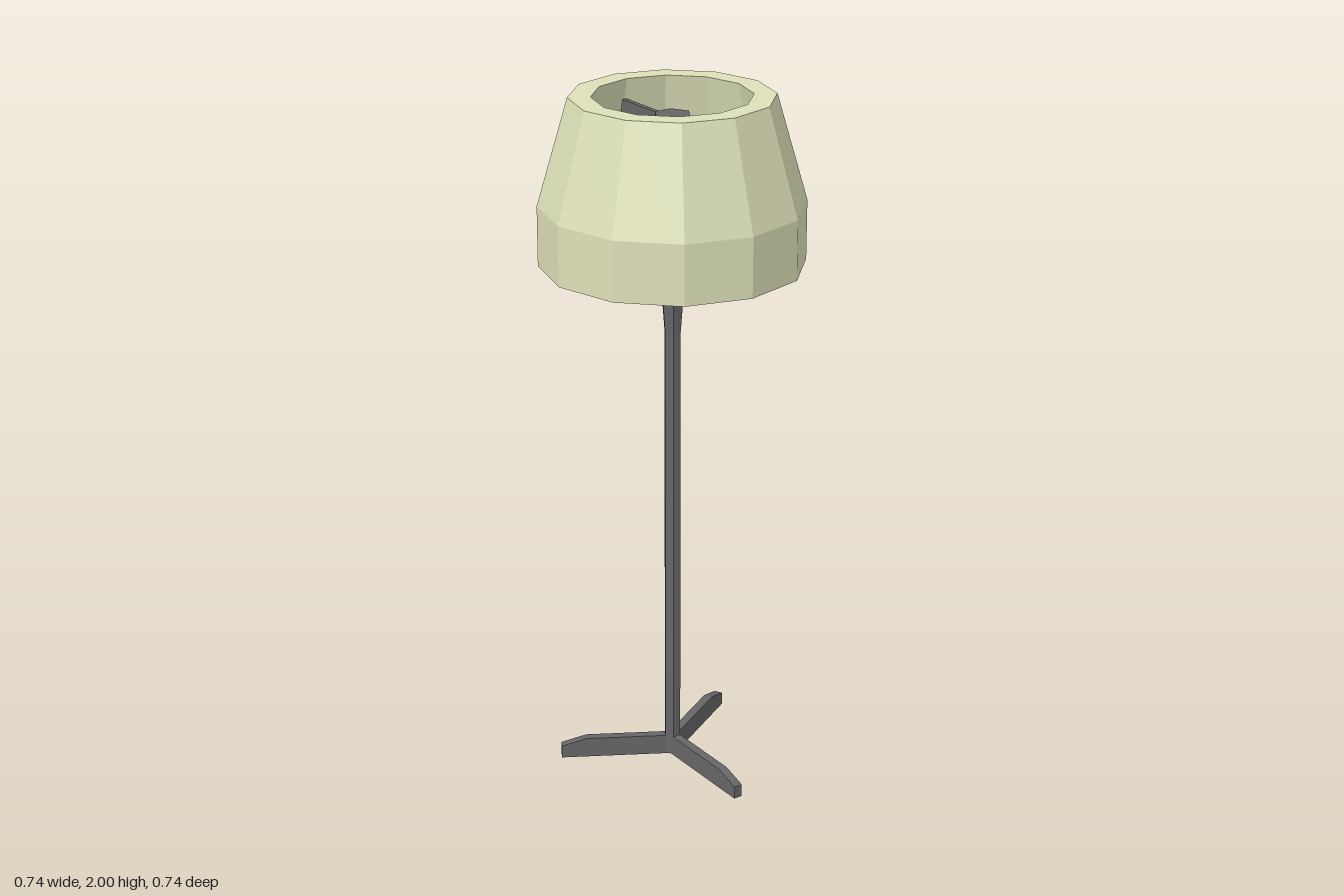
import * as THREE from 'three';

export function createModel() {
  const lamp = new THREE.Group();
  lamp.name = 'floorLamp';

  const metal = new THREE.MeshStandardMaterial({ color: 0x666668, flatShading: true });
  const fabric = new THREE.MeshStandardMaterial({ color: 0xdde0b8, flatShading: true });

  const lathe = (points, sides) =>
    new THREE.LatheGeometry(points.map(([r, y]) => new THREE.Vector2(r, y)), sides);

  const add = (name, geometry, material, angle = 0) => {
    const mesh = new THREE.Mesh(geometry, material);
    mesh.name = name;
    mesh.rotation.y = angle;
    lamp.add(mesh);
  };

  // Thick-walled twelve-sided shade: up the outside, over the rim, down the inside
  add('shade', lathe([
    [0.37, 1.53], [0.37, 1.7], [0.283, 2], [0.22, 2],
    [0.287, 1.7], [0.287, 1.53], [0.37, 1.53],
  ], 12), fabric);

  // Hexagonal pole flaring into the hub inside the shade
  add('pole', lathe([
    [0, 0.003], [0.025, 0.003], [0.025, 1.33], [0.053, 1.68], [0.053, 1.95], [0, 1.95],
  ], 6), metal, Math.PI / 6);

  // Foot profile with a chamfered tip, running outwards along x
  const footShape = new THREE.Shape([
    [0, 0], [0.33, 0], [0.33, 0.038], [0.255, 0.06], [0, 0.06],
  ].map(([x, y]) => new THREE.Vector2(x, y)));
  const foot = new THREE.ExtrudeGeometry(footShape, { depth: 0.026, bevelEnabled: false });
  foot.translate(0, 0, -0.013);

  // Upright fin reaching from the hub into the shade wall
  const strut = new THREE.BoxGeometry(0.22, 0.12, 0.015);
  strut.translate(0.145, 1.88, 0);

  // Three feet, with the struts set between them
  for (let i = 0; i < 3; i++) {
    const turn = (i * Math.PI * 2) / 3;
    add('foot', foot, metal, turn - Math.PI / 2);
    add('shadeStrut', strut, metal, turn + Math.PI / 2);
  }

  return lamp;
}
